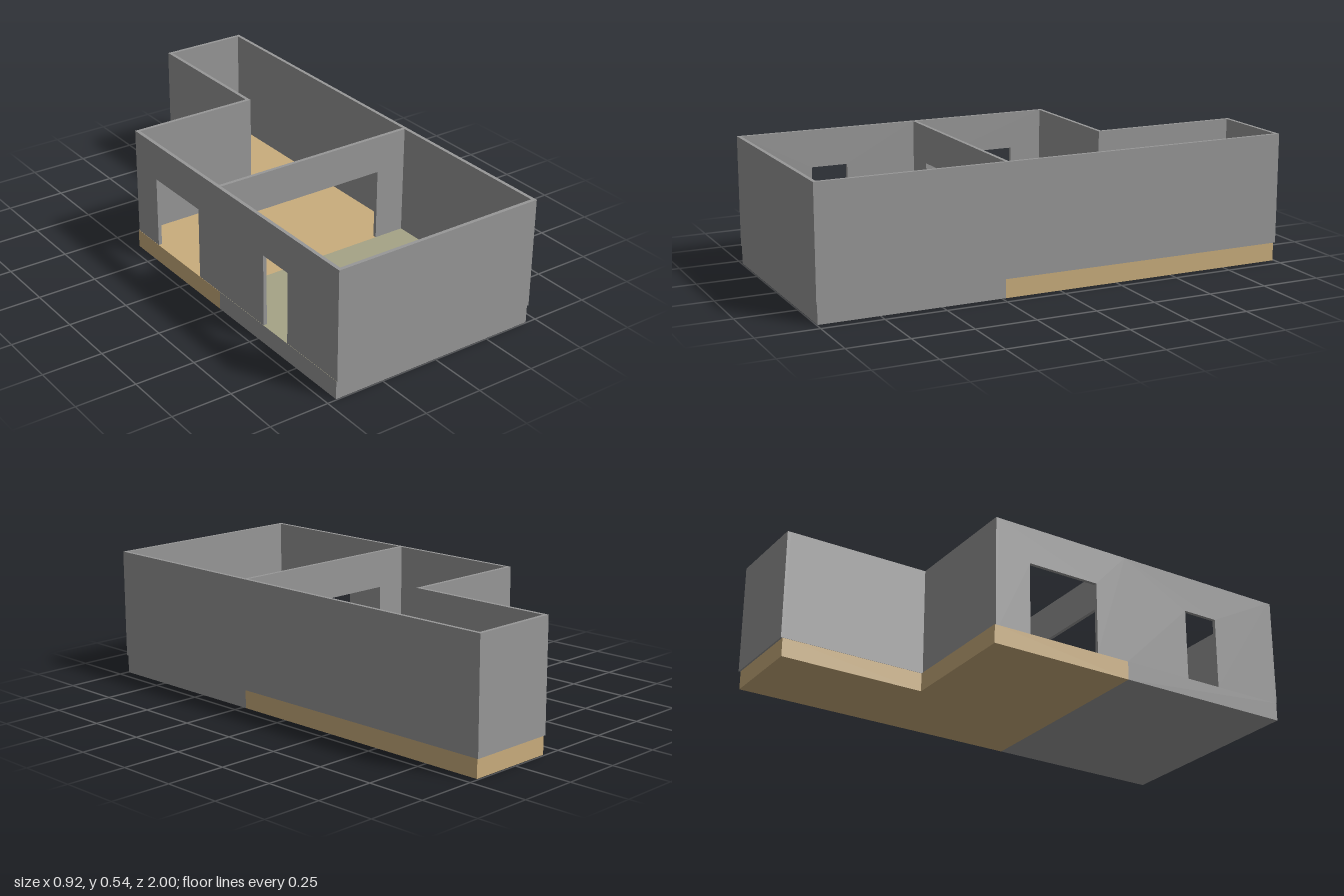
import * as THREE from 'three';

const FLOOR = 0.077, TOP = 0.535, DOOR_TOP = 0.379, T = 0.015;

export function createModel() {
  const model = new THREE.Group();
  model.name = 'floorPlanHouse';
  const mat = (name, color) => {
    const m = new THREE.MeshStandardMaterial({ color });
    m.name = name;
    return m;
  };
  const grey = mat('wall grey', 0x979797);
  const sand = mat('sand floor', 0xc9ad7c);
  const olive = mat('olive floor', 0xa5a386);

  const add = (name, geometry, material) => {
    const mesh = new THREE.Mesh(geometry, material);
    mesh.name = name;
    model.add(mesh);
    return mesh;
  };

  // Wall elevation from a to b, with an optional doorway cut up from the floor
  const wallGeometry = (a, b, door) => {
    const pts = [[a, FLOOR]];
    if (door) pts.push([door[0], FLOOR], [door[0], DOOR_TOP], [door[1], DOOR_TOP], [door[1], FLOOR]);
    pts.push([b, FLOOR], [b, TOP], [a, TOP]);
    const shape = new THREE.Shape(pts.map(p => new THREE.Vector2(...p)));
    return new THREE.ExtrudeGeometry(shape, { depth: T, bevelEnabled: false });
  };
  // Wall running along x, occupying z to z + T
  const wallX = (name, z, x0, x1, door) =>
    add(name, wallGeometry(x0, x1, door).translate(0, 0, z), grey);
  // Wall running along z, occupying x to x + T
  const wallZ = (name, x, z0, z1, door) => {
    const flipped = door && [-door[1], -door[0]];
    add(name, wallGeometry(-z1, -z0, flipped).rotateY(Math.PI / 2).translate(x, 0, 0), grey);
  };

  // L-shaped rear foundation
  const plan = [[-0.46, 0.234], [0.455, 0.234], [0.455, -0.993], [0.08, -0.993], [0.08, -0.384], [-0.46, -0.384]];
  const planShape = new THREE.Shape(plan.map(([x, z]) => new THREE.Vector2(x, -z)));
  add('rearFoundation', new THREE.ExtrudeGeometry(planShape, { depth: FLOOR, bevelEnabled: false }).rotateX(-Math.PI / 2), sand);

  // Front foundation: grey block whose upper face is the olive floor
  const front = new THREE.BoxGeometry(0.915, FLOOR, 0.762).translate(-0.0025, FLOOR / 2, 0.615);
  add('frontFoundation', front, [grey, grey, olive, grey, grey, grey]);

  // Outer walls
  const L = -0.459, R = 0.459;
  wallX('frontWall', 1 - T, L, R);
  wallZ('rightLongWall', R - T, -1 + T, 1 - T);
  wallX('backWall', -1, 0.079, R);
  wallZ('wingSideWall', 0.079, -1 + T, -0.379 + T);
  wallX('notchWall', -0.379, L, 0.079);
  wallZ('rearRoomSideWall', L, -0.379 + T, 0.234, [-0.224, 0.09]);
  wallZ('frontRoomSideWall', L, 0.234, 1 - T, [0.535, 0.69]);

  // Inner wall with a wide opening between the rooms
  wallX('partitionWall', 0.234 - T, L + T, R - T, [-0.31, 0.31]);

  return model;
}
